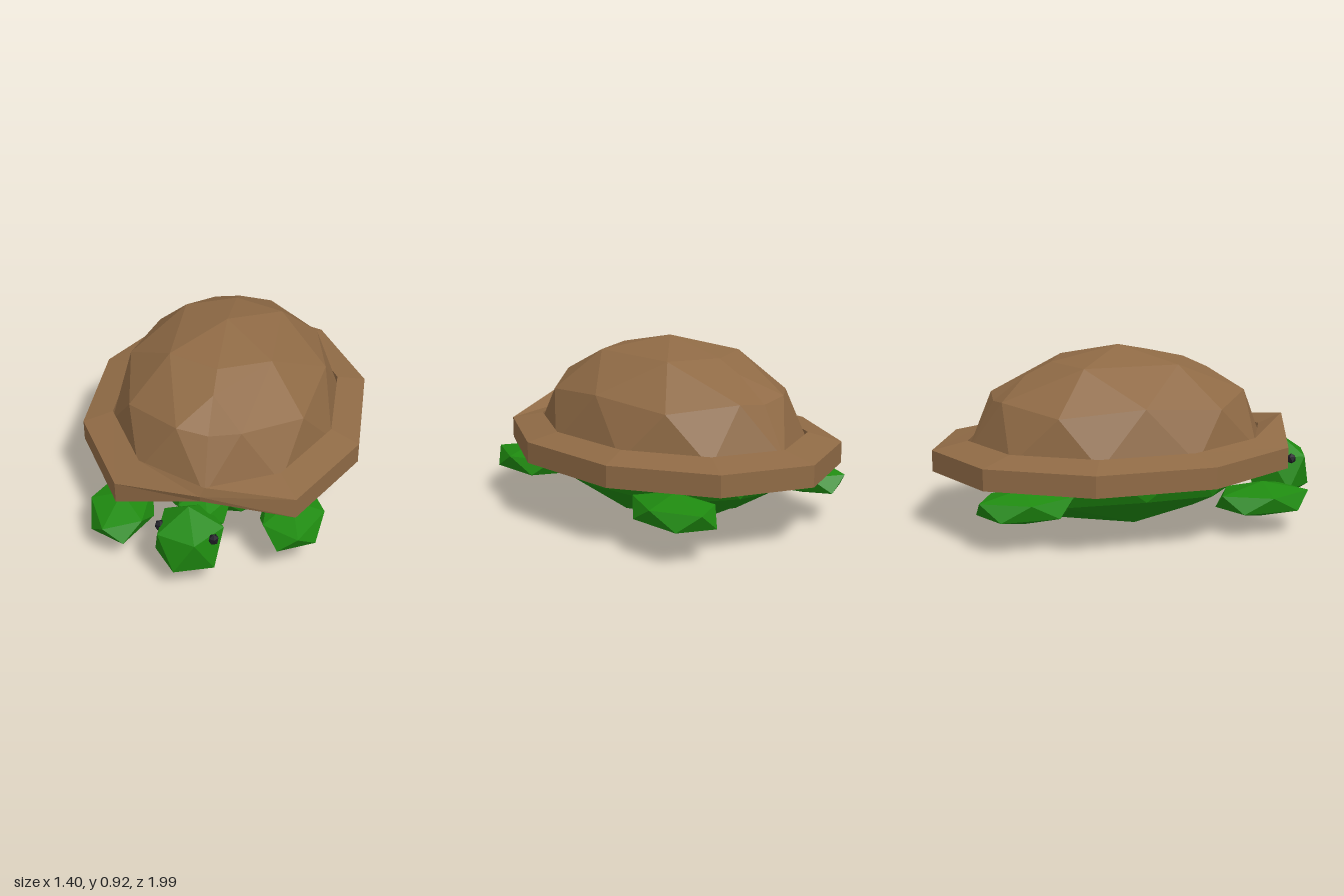
import * as THREE from 'three';

const brown = new THREE.MeshStandardMaterial({ color: 0x8f6a45, side: THREE.DoubleSide });
brown.name = 'shellBrown';
const green = new THREE.MeshStandardMaterial({ color: 0x1f8a10 });
green.name = 'skinGreen';
const black = new THREE.MeshStandardMaterial({ color: 0x1c1a22 });
black.name = 'eyeBlack';
for (const m of [brown, green, black]) m.flatShading = true;

// Icosphere with a vertex pointing up
function ico(detail = 0) {
  const g = new THREE.IcosahedronGeometry(1, detail);
  g.rotateZ(-Math.atan(2 / (1 + Math.sqrt(5))));
  return g;
}

function fromPoints(points) {
  const g = new THREE.BufferGeometry().setFromPoints(points);
  g.computeVertexNormals();
  return g;
}

// Upper (+1) or lower (-1) half of an icosphere: its -x side, mirrored across x = 0
function halfSphere(sign) {
  const pos = ico(1).attributes.position;
  const out = [];
  const flip = (p) => new THREE.Vector3(-p.x, p.y, p.z);
  for (let i = 0; i < pos.count; i += 3) {
    const t = [0, 1, 2].map((k) => new THREE.Vector3().fromBufferAttribute(pos, i + k));
    if ((t[0].y + t[1].y + t[2].y) * sign < 0) continue;
    const poly = [];
    t.forEach((a, k) => {
      const b = t[(k + 1) % 3];
      if (a.x <= 1e-5) poly.push(a);
      if ((a.x < -1e-5 && b.x > 1e-5) || (a.x > 1e-5 && b.x < -1e-5)) {
        poly.push(a.clone().lerp(b, a.x / (a.x - b.x)));
      }
    });
    for (let k = 1; k + 1 < poly.length; k++) {
      const [a, b, c] = [poly[0], poly[k], poly[k + 1]];
      out.push(a, b, c, flip(a), flip(c), flip(b));
    }
  }
  return fromPoints(out);
}

// Ten-sided rim, lifted over the head
function rimGeometry() {
  const ringPoint = (a, rx, rz, y) => new THREE.Vector3(rx * Math.sin(a), y, -0.045 + rz * Math.cos(a));
  const sections = [];
  for (let i = 0; i < 10; i++) {
    const a = (i * Math.PI) / 5;
    sections.push(i === 0
      ? [[0.455, 0.74], [0.505, 0.87], [0.472, 0.86], [0.39, 0.74]].map(([y, z]) => new THREE.Vector3(0, y, z))
      : [
        ringPoint(a, 0.585, 0.775, 0.46),
        ringPoint(a, 0.736, 0.955, 0.422),
        ringPoint(a, 0.736, 0.955, 0.315),
        ringPoint(a, 0.585, 0.775, 0.315),
      ]);
  }
  const out = [];
  for (let i = 0; i < 10; i++) {
    const p = sections[i];
    const q = sections[(i + 1) % 10];
    for (let j = 0; j < 4; j++) {
      const n = (j + 1) % 4;
      out.push(p[j], p[n], q[n], p[j], q[n], q[j]);
    }
  }
  return fromPoints(out);
}

export function createModel() {
  const model = new THREE.Group();
  model.name = 'turtle';

  function add(name, geometry, material, position, scale) {
    geometry.scale(...scale);
    geometry.computeVertexNormals();
    const mesh = new THREE.Mesh(geometry, material);
    mesh.name = name;
    mesh.position.set(...position);
    model.add(mesh);
  }

  // Shell and belly
  add('shellDome', halfSphere(1), brown, [0, 0.41, -0.04], [0.59, 0.505, 0.78]);
  add('shellRim', rimGeometry(), brown, [0, 0, 0], [1, 1, 1]);
  add('belly', halfSphere(-1), green, [0, 0.4, -0.04], [0.58, 0.4, 0.76]);

  // Head, neck and eyes
  add('neck', ico(), green, [-0.02, 0.28, 0.62], [0.15, 0.1, 0.2]);
  add('head', ico(), green, [-0.06, 0.22, 0.83], [0.185, 0.19, 0.185]);
  add('leftEye', ico(), black, [0.07, 0.298, 0.915], [0.026, 0.028, 0.028]);
  add('rightEye', ico(), black, [-0.195, 0.298, 0.85], [0.026, 0.028, 0.028]);

  // Legs
  const legs = [
    ['frontLeftLeg', 0.405, 0.215, 0.59],
    ['frontRightLeg', -0.435, 0.17, 0.59],
    ['backLeftLeg', 0.505, 0.215, -0.59],
    ['backRightLeg', -0.39, 0.215, -0.61],
  ];
  for (const [name, x, y, z] of legs) {
    const leg = ico();
    if (x < 0) leg.rotateY(Math.PI);
    add(name, leg, green, [x, y, z], [0.175, 0.09, 0.27]);
  }
  return model;
}
